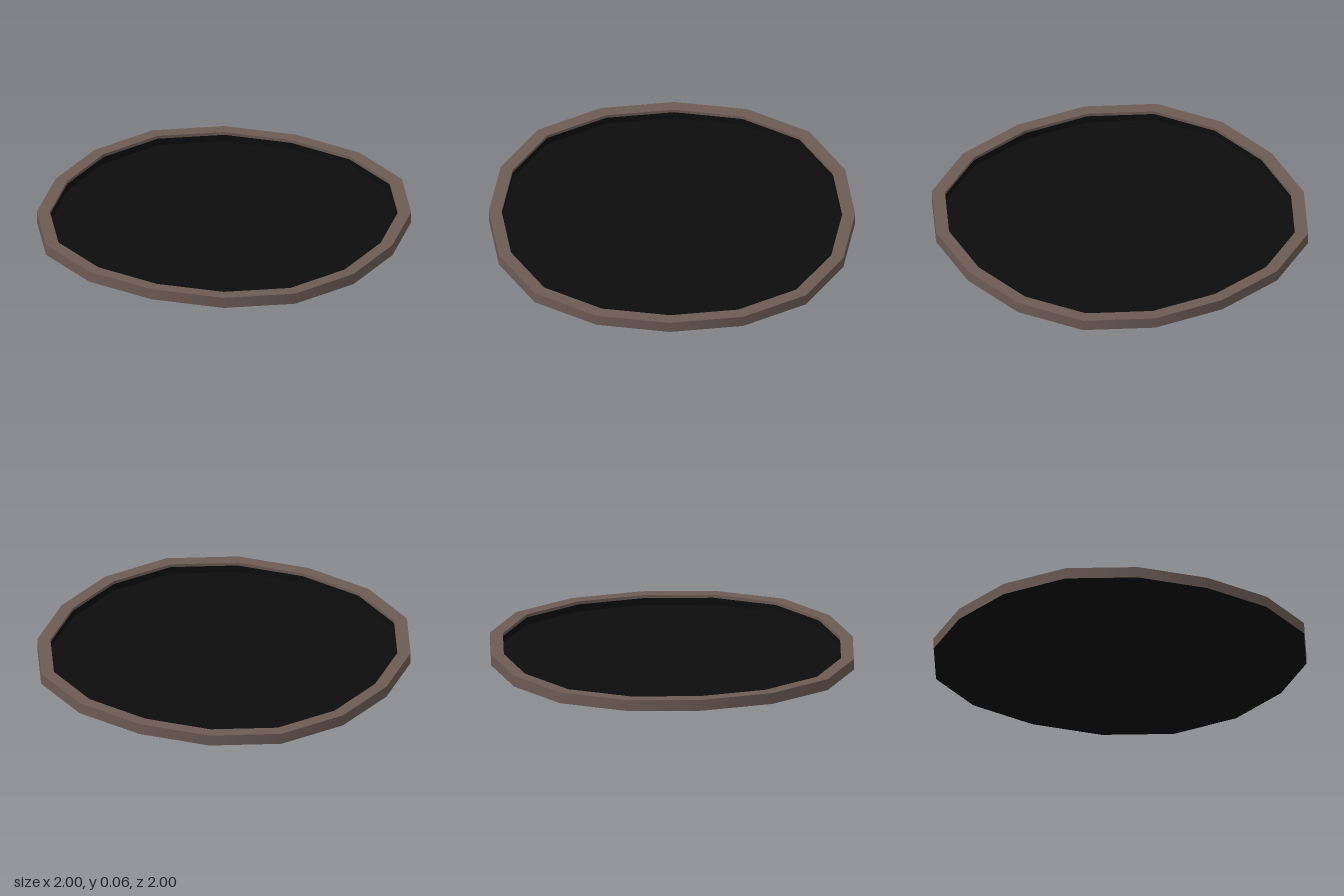
import * as THREE from 'three';
import { mergeGeometries } from 'three/addons/utils/BufferGeometryUtils.js';

const SIDES = 16;
const HEIGHT = 0.062;
const LIP = 0.045; // where the dark lining ends on the inner wall
const FLOOR = 0.004;
const INNER = 0.93;

// Sine stand-in that gives the slightly squared 16-sided outline
const STEPS = [0, 0.4, 0.74, 0.94, 1];
function squaredSin(angle) {
  const k = Math.round(Math.asin(Math.sin(angle)) / (Math.PI / 8));
  return Math.sign(k) * STEPS[Math.abs(k)];
}

// One band swept round the outline between two [radius, y] points
function band(from, to) {
  const points = [from, to].map(([r, y]) => new THREE.Vector2(r, y));
  const geometry = new THREE.LatheGeometry(points, SIDES);
  const pos = geometry.attributes.position;
  for (let i = 0; i < pos.count; i++) {
    const r = points[i % 2].x;
    const angle = Math.floor(i / 2) * Math.PI * 2 / SIDES;
    pos.setX(i, r * squaredSin(angle));
    pos.setZ(i, r * squaredSin(angle + Math.PI / 2));
  }
  return geometry;
}

// Separate bands keep the edges between them sharp
function sweep(name, color, profiles) {
  const bands = profiles.flatMap((profile) =>
    profile.slice(1).map((point, i) => band(profile[i], point)));
  const mesh = new THREE.Mesh(
    mergeGeometries(bands),
    new THREE.MeshStandardMaterial({ color }));
  mesh.name = name;
  return mesh;
}

export function createModel() {
  const group = new THREE.Group();
  group.name = 'tray';

  // Outer wall, flat top and the upper strip of the inner wall
  group.add(sweep('rim', 0x6b5b55, [
    [[1, 0], [1, HEIGHT], [INNER, HEIGHT], [INNER, LIP]],
  ]));

  // Lower inner wall with the floor, and the underside
  group.add(sweep('base', 0x0d0d0d, [
    [[INNER, LIP], [INNER, FLOOR], [0, FLOOR]],
    [[0, 0], [1, 0]],
  ]));

  return group;
}
